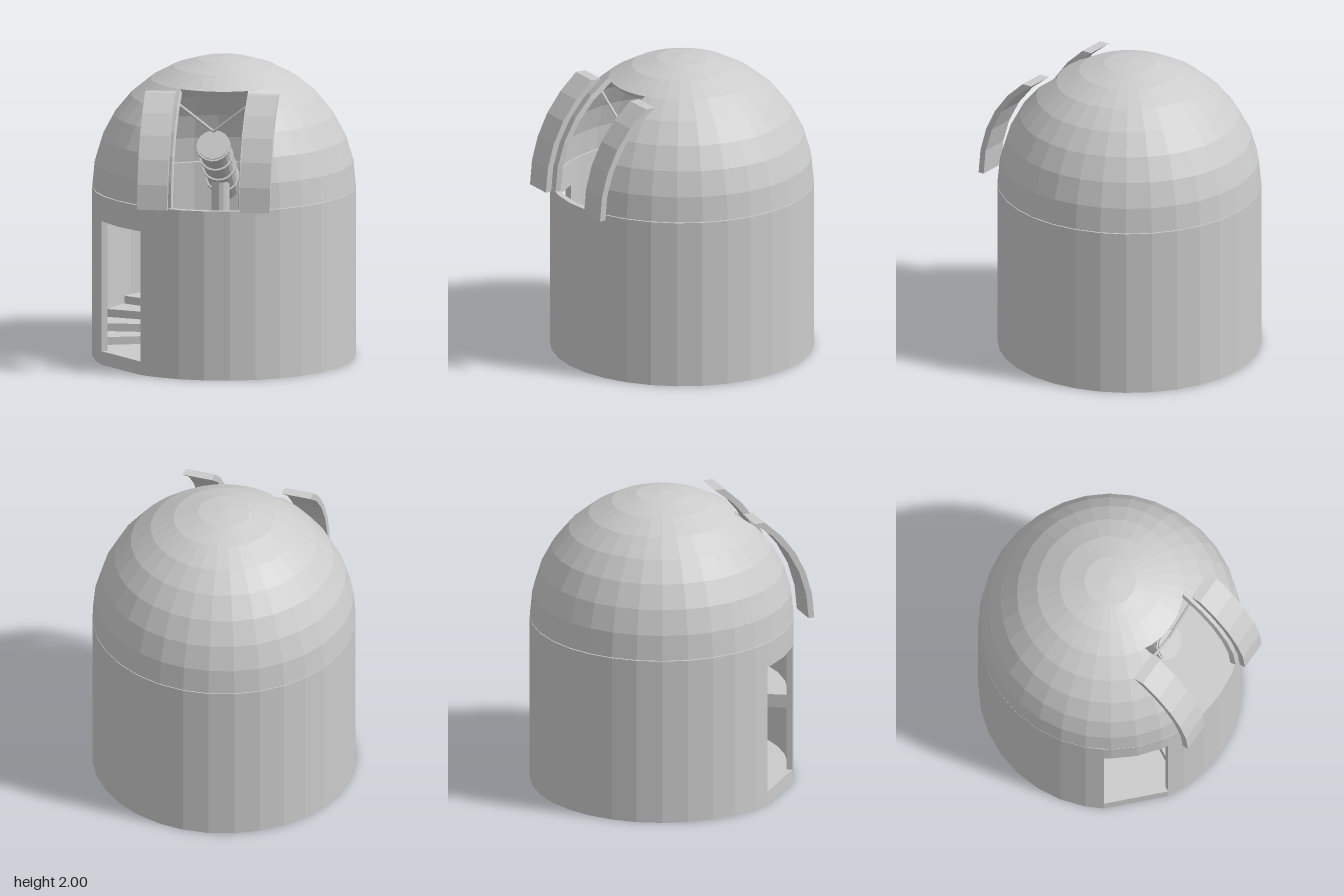
import * as THREE from 'three';

const R = 0.865, RI = 0.83, BASE = 1.135, SLIT = 0.225;
const rad = THREE.MathUtils.degToRad;
const STEP = rad(11.25);
const mat = new THREE.MeshStandardMaterial({ color: 0xcccccc, flatShading: true, side: THREE.DoubleSide });

function add(parent, name, geometry, x = 0, y = 0, z = 0) {
  const mesh = new THREE.Mesh(geometry, mat);
  mesh.name = name;
  mesh.position.set(x, y, z);
  parent.add(mesh);
  return mesh;
}

// Azimuths in radians from a to b, breaking at every facet of the 32-sided wall
function azimuths(a, b) {
  const list = [a];
  for (let k = Math.floor(a / STEP) + 1; k * STEP < b - 1e-4; k++) {
    if (k * STEP > a + 1e-4) list.push(k * STEP);
  }
  list.push(b);
  return list;
}

// Upright solid between two radii, following the given azimuths (0 = front)
function sector(az, r0, r1, y0, y1) {
  const at = (r, a) => new THREE.Vector2(r * Math.sin(a), -r * Math.cos(a));
  const pts = az.map(a => at(r1, a));
  if (r0 > 0) pts.push(...[...az].reverse().map(a => at(r0, a)));
  else pts.push(new THREE.Vector2(0, 0));
  const g = new THREE.ExtrudeGeometry(new THREE.Shape(pts), { depth: y1 - y0, bevelEnabled: false });
  return g.rotateX(-Math.PI / 2).translate(0, y0, 0);
}

// Open sheet from a rule giving a point for each (i, j)
function sheet(nu, nv, rule) {
  const pos = [], idx = [];
  for (let j = 0; j <= nv; j++) for (let i = 0; i <= nu; i++) pos.push(...rule(i, j));
  for (let j = 0; j < nv; j++) for (let i = 0; i < nu; i++) {
    const a = j * (nu + 1) + i, b = a + nu + 1;
    idx.push(a, b, a + 1, a + 1, b, b + 1);
  }
  const g = new THREE.BufferGeometry();
  g.setAttribute('position', new THREE.Float32BufferAttribute(pos, 3));
  g.setIndex(idx);
  g.computeVertexNormals();
  return g;
}

function rod(parent, name, a, b, r, sides) {
  const dir = new THREE.Vector3().subVectors(b, a);
  const mesh = add(parent, name, new THREE.CylinderGeometry(r, r, dir.length(), sides));
  mesh.position.copy(a).addScaledVector(dir, 0.5);
  mesh.quaternion.setFromUnitVectors(new THREE.Vector3(0, 1, 0), dir.normalize());
  return mesh;
}

function buildTower(parent) {
  const door = Math.asin(0.215 / R);
  add(parent, 'towerWall', sector(azimuths(door, 2 * Math.PI - door), 0.825, R, 0, 1.13));
  add(parent, 'doorLintel', sector(azimuths(-door, door), 0.825, R, 0.96, 1.13));
  add(parent, 'doorSill', sector([-door, door], 0.825, R, 0, 0.09));
  add(parent, 'groundFloor', new THREE.CylinderGeometry(0.828, 0.828, 0.01, 32), 0, 0.085, 0);
  add(parent, 'upperFloor', sector(azimuths(rad(15), Math.PI), 0, 0.828, 0.52, 0.61));

  // Winding stair climbing clockwise along the left of the entrance
  const count = 10, start = rad(-28), turn = rad(152) / count, rise = 0.052;
  for (let i = 0; i < count; i++) {
    const a = start - i * turn, top = 0.09 + (i + 1) * rise;
    add(parent, 'stairStep', sector([a - turn, a - turn / 2, a], 0.5, 0.828, top - 0.09, top));
  }
}

function buildDome(parent) {
  // Full cap above the slit, inside and outside
  for (const r of [R, RI]) {
    add(parent, 'domeCap', new THREE.SphereGeometry(r, 32, 3, 0, Math.PI * 2, 0, 3 * STEP));
  }
  // Lower bands, with columns pushed aside to leave a slit of constant width
  const gap = row => Math.asin(SLIT / (R * Math.sin((row + 3) * STEP)));
  const point = (r, az, row) => {
    const p = (row + 3) * STEP;
    return [r * Math.sin(p) * Math.sin(az), r * Math.cos(p), r * Math.sin(p) * Math.cos(az)];
  };
  const column = (k, row) => THREE.MathUtils.clamp(k * STEP, gap(row), 2 * Math.PI - gap(row));
  const radii = [R, RI];
  for (const r of radii) {
    add(parent, 'domeShell', sheet(32, 5, (k, row) => point(r, column(k, row), row)));
  }
  for (const k of [0, 32]) {
    add(parent, 'slitSide', sheet(1, 5, (i, row) => point(radii[i], column(k, row), row)));
  }
  add(parent, 'slitTop', sheet(6, 1, (i, j) => point(radii[j], (i - 3) * STEP, 0)));
  add(parent, 'domeRim', sheet(32, 1, (k, j) => point(radii[j], column(k, 5), 5)));
}

// Curved shutter panels, slid open to either side of the slit
function buildShutters(parent) {
  const outer = 0.9, inner = 0.86, height = 0.715, n = 5;
  const arc = r => Array.from({ length: n + 1 }, (_, i) => {
    const a = Math.asin(height / r) * i / n;
    return new THREE.Vector2(r * Math.cos(a), r * Math.sin(a));
  });
  const shape = new THREE.Shape([...arc(outer), ...arc(inner).reverse()]);
  for (const side of [-1, 1]) {
    const g = new THREE.ExtrudeGeometry(shape, { depth: 0.2, bevelEnabled: false });
    g.translate(0, 0, -0.1).rotateY(-Math.PI / 2);
    add(parent, 'shutterPanel', g, side * 0.34, 0, 0);
  }
}

function buildTelescope(parent) {
  const scope = new THREE.Group();
  scope.name = 'telescope';
  parent.add(scope);
  const dir = new THREE.Vector3(0, Math.sin(rad(35)), Math.cos(rad(35)));
  const front = new THREE.Vector3(0, 0.36, 0.47);
  const along = d => front.clone().addScaledVector(dir, -d);
  rod(scope, 'tube', along(0.65), front, 0.1, 20);
  for (const d of [0.01, 0.16, 0.32, 0.5]) rod(scope, 'tubeRing', along(d + 0.03), along(d), 0.112, 20);
  rod(scope, 'eyepiece', along(0.78), along(0.65), 0.045, 12);
  const mount = along(0.38);
  rod(scope, 'pier', new THREE.Vector3(0, 0.09 - BASE, mount.z), mount, 0.06, 12);
  // Braces from the tube up to the edges of the slit
  for (const side of [-1, 1]) {
    rod(scope, 'brace', new THREE.Vector3(0, 0.45, 0.46), new THREE.Vector3(side * 0.235, 0.635, 0.48), 0.01, 6);
  }
}

export function createModel() {
  const model = new THREE.Group();
  model.name = 'observatory';
  const tower = new THREE.Group();
  tower.name = 'tower';
  const dome = new THREE.Group();
  dome.name = 'dome';
  dome.position.y = BASE;
  dome.rotation.y = Math.PI / 4;
  const body = new THREE.Group();
  body.name = 'body';
  body.position.set(-0.045, 0, -0.035);
  body.add(tower, dome);
  model.add(body);

  buildTower(tower);
  buildDome(dome);
  buildShutters(dome);
  buildTelescope(dome);
  return model;
}
